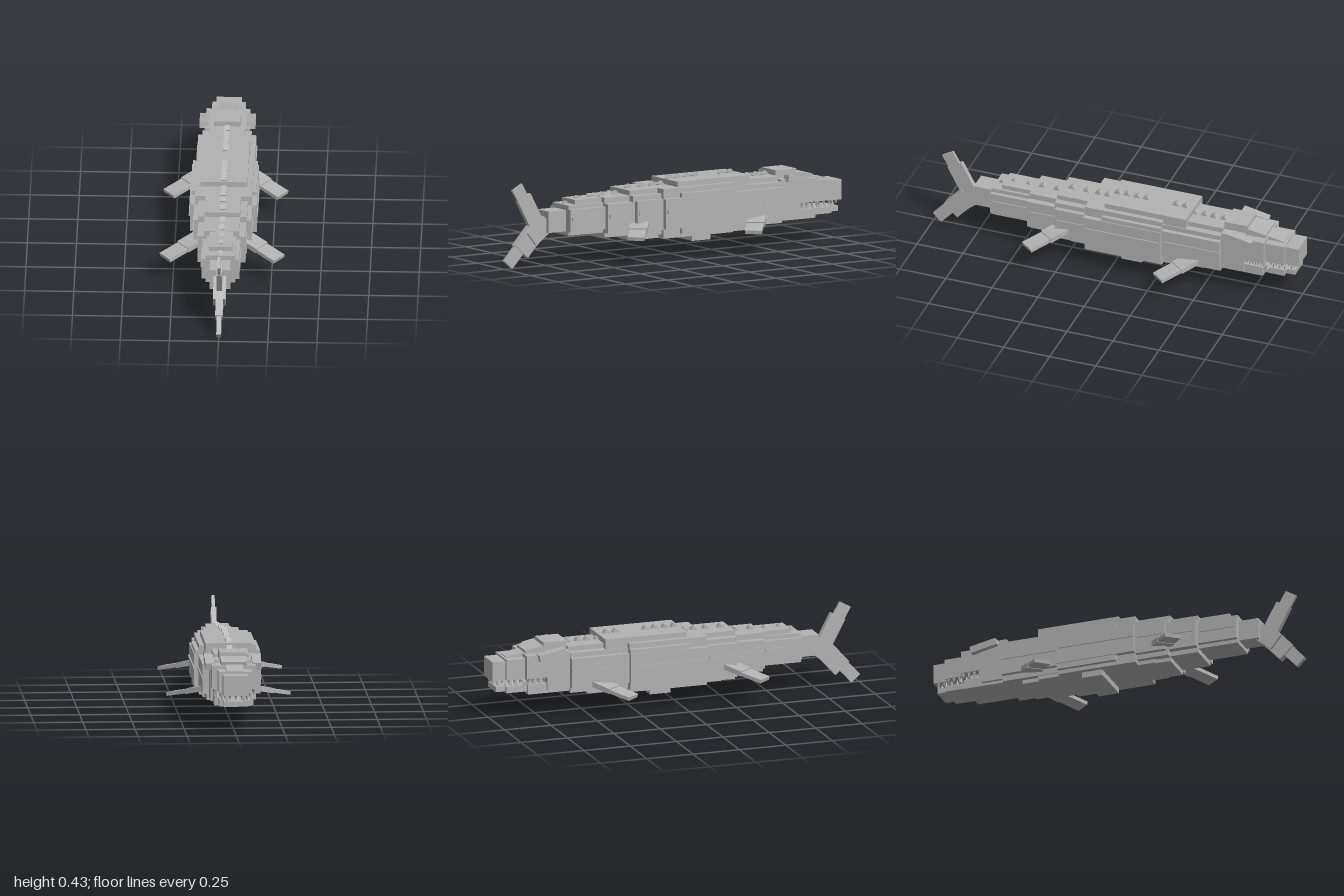
import * as THREE from 'three';

export function createModel() {
  const model = new THREE.Group();
  model.name = 'marineReptile';
  const hide = new THREE.MeshStandardMaterial({ color: 0xb2b2b2 });
  hide.name = 'grey hide';

  function part(name, geo, x = 0, y = 0, z = 0) {
    const m = new THREE.Mesh(geo, hide);
    m.name = name;
    m.position.set(x, y, z);
    model.add(m);
    return m;
  }
  // Box centred on x, from its half width and its y and z ranges
  function slab(name, half, y0, y1, z0, z1) {
    return part(name, new THREE.BoxGeometry(half * 2, y1 - y0, z1 - z0), 0, (y0 + y1) / 2, (z0 + z1) / 2);
  }
  // Box running from point a to point b
  function beam(name, a, b, w, h) {
    const p = new THREE.Vector3(...a), q = new THREE.Vector3(...b);
    const m = part(name, new THREE.BoxGeometry(w, h, p.distanceTo(q)));
    m.position.copy(p).add(q).multiplyScalar(0.5);
    m.lookAt(q);
    return m;
  }

  // Trunk: stepped layers per section [half width, y0, y1, z0, z1]
  const trunk = [
    [0.148, 0.155, 0.31, -0.60, -0.29], [0.125, 0.125, 0.335, -0.60, -0.29],
    [0.09, 0.125, 0.36, -0.60, -0.39], [0.10, 0.105, 0.30, -0.50, -0.29],
    [0.17, 0.155, 0.31, -0.29, 0.13], [0.165, 0.125, 0.333, -0.29, 0.03],
    [0.145, 0.105, 0.36, -0.29, 0.13], [0.12, 0.105, 0.387, -0.41, 0.03],
    [0.12, 0.075, 0.2, -0.17, -0.06],
    [0.148, 0.15, 0.31, 0.13, 0.29], [0.125, 0.125, 0.335, 0.13, 0.30],
    [0.09, 0.105, 0.36, 0.03, 0.30], [0.10, 0.105, 0.3, 0.13, 0.22],
    [0.122, 0.155, 0.305, 0.29, 0.45], [0.09, 0.13, 0.335, 0.22, 0.45],
    [0.096, 0.175, 0.29, 0.45, 0.66], [0.075, 0.155, 0.31, 0.45, 0.66],
    [0.06, 0.17, 0.333, 0.45, 0.61],
  ];
  trunk.forEach((t) => slab('trunkLayer', ...t));

  // Raised line along the flanks
  [[0.153, -0.6, -0.3], [0.176, -0.28, 0.12], [0.153, 0.14, 0.28], [0.127, 0.3, 0.44], [0.101, 0.46, 0.65]]
    .forEach(([h, a, b]) => slab('flankRidge', h, 0.236, 0.25, a, b));

  // Tail root and two flukes
  slab('tailRoot', 0.053, 0.175, 0.285, 0.66, 0.765);
  beam('lowerFlukeBase', [0, 0.225, 0.75], [0, 0.145, 0.85], 0.064, 0.085);
  beam('lowerFluke', [0, 0.19, 0.81], [0, 0.085, 0.905], 0.038, 0.1);
  beam('lowerFlukeTip', [0, 0.11, 0.90], [0, 0.022, 0.98], 0.024, 0.062);
  beam('upperFluke', [0, 0.21, 0.805], [0, 0.36, 0.885], 0.027, 0.085);
  beam('upperFlukeTip', [0, 0.33, 0.875], [0, 0.417, 0.925], 0.016, 0.066);

  // Back spikes: tilted cubes half sunk in the back
  const backTop = (z) => (z > 0.61 ? 0.31 : z > 0.3 ? 0.333 : z > 0.03 ? 0.36 : z > -0.41 ? 0.387 : 0.36);
  [-0.575, -0.52, -0.47, -0.415, -0.365, -0.315, -0.155, -0.105, -0.05, 0, 0.055, 0.105,
    0.17, 0.25, 0.33, 0.41, 0.485, 0.565, 0.63].forEach((z) => {
    const s = z > 0.45 ? 0.02 : 0.028;
    part('backSpike', new THREE.BoxGeometry(s, s, s), 0, backTop(z), z).rotation.x = 0.6;
  });

  // Flippers, swept back and drooping
  for (const side of [1, -1]) {
    for (const [dy, dz] of [[0, 0], [0.025, 0.71]]) {
      const at = (x, y, z) => [side * x, y + dy, z + dz];
      beam('flipperArm', at(0.06, 0.182, -0.5), at(0.2, 0.143, -0.392), 0.092, 0.027);
      beam('flipperBlade', at(0.18, 0.147, -0.407), at(0.29, 0.119, -0.32), 0.086, 0.019);
    }
  }

  // Head: skull, stepped snout and lower jaw
  slab('skull', 0.115, 0.145, 0.345, -0.72, -0.6);
  slab('crown', 0.067, 0.33, 0.387, -0.725, -0.6);
  slab('cheeks', 0.112, 0.215, 0.335, -0.83, -0.7);
  beam('forehead', [0, 0.35, -0.72], [0, 0.333, -0.82], 0.13, 0.04);
  slab('upperJaw', 0.085, 0.21, 0.318, -0.93, -0.82);
  beam('snoutBridge', [0, 0.325, -0.8], [0, 0.305, -0.915], 0.09, 0.035);
  slab('snout', 0.065, 0.205, 0.308, -1.0, -0.92);
  slab('lowerJawBase', 0.1, 0.13, 0.18, -0.82, -0.6);
  slab('lowerJaw', 0.08, 0.142, 0.175, -0.93, -0.8);
  slab('chin', 0.06, 0.147, 0.175, -0.98, -0.92);
  slab('throat', 0.07, 0.16, 0.23, -0.8, -0.7);

  // Brows and teeth on each side
  const tooth = new THREE.ConeGeometry(0.011, 0.032, 4).toNonIndexed();
  tooth.computeVertexNormals();
  for (const side of [1, -1]) {
    beam('brow', [side * 0.12, 0.35, -0.63], [side * 0.12, 0.322, -0.77], 0.045, 0.036);
    for (let i = 0; i < 9; i++) {
      const z = -0.735 - i * 0.03;
      const up = z > -0.83 ? 0.1 : z > -0.93 ? 0.075 : 0.055;
      part('upperTooth', tooth, side * up, 0.2, z).rotation.x = Math.PI;
      if (i < 8) part('lowerTooth', tooth, side * (up - 0.012), 0.188, z - 0.015);
    }
  }
  for (const x of [-0.03, 0, 0.03]) {
    part('frontTooth', tooth, x, 0.195, -0.985).rotation.x = Math.PI;
  }
  return model;
}
